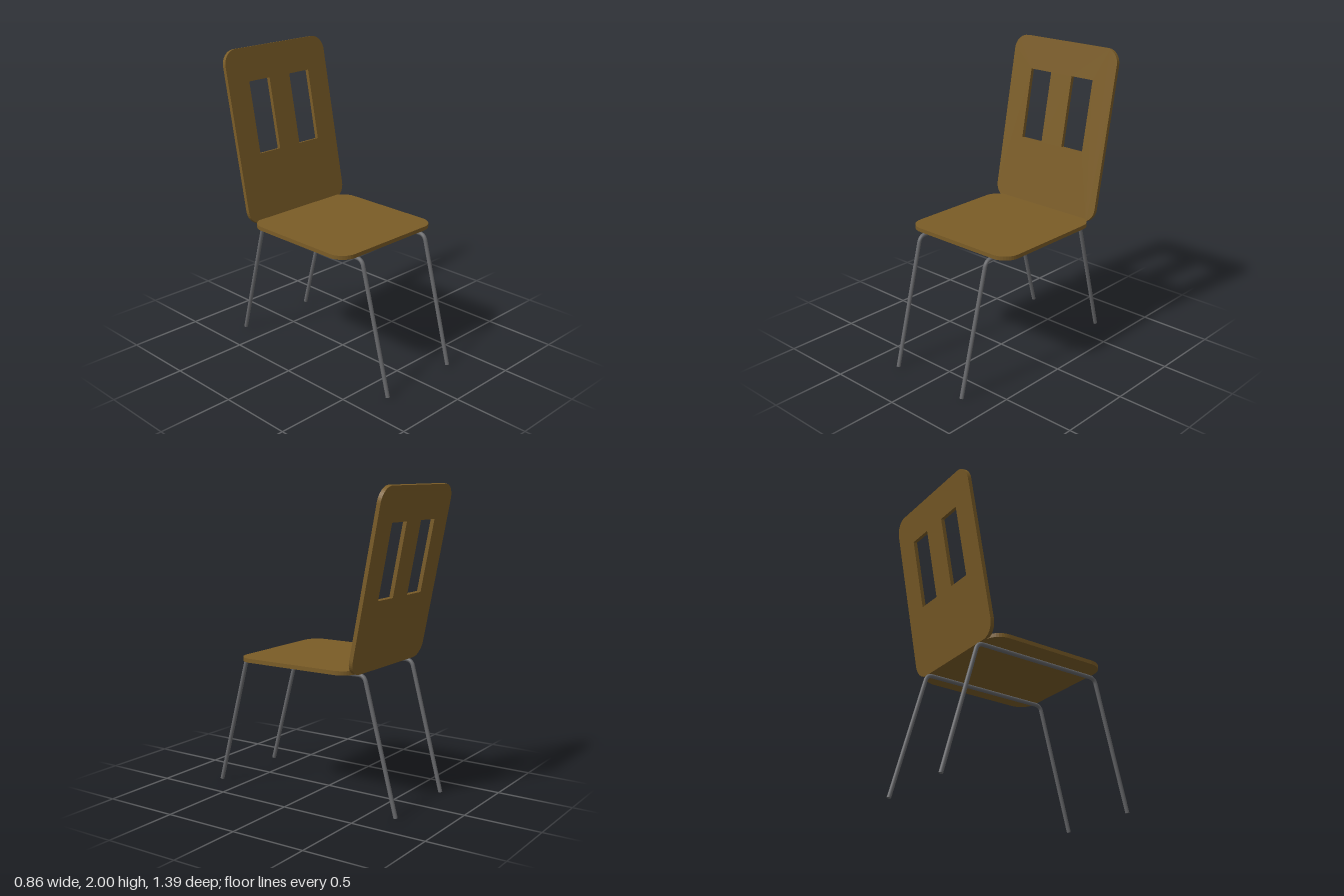
import * as THREE from 'three';

const wood = new THREE.MeshStandardMaterial({ name: 'brown wood', color: 0x7a5c27 });
const steel = new THREE.MeshStandardMaterial({ name: 'grey steel', color: 0x66676a });

const THICK = 0.026;
const TUBE = 0.0135;

// Rectangle outline with rounded corners, from (x0, y0) to (x1, y1)
function roundedRect(x0, y0, x1, y1, r) {
  const s = new THREE.Shape();
  s.absarc(x1 - r, y0 + r, r, -Math.PI / 2, 0);
  s.absarc(x1 - r, y1 - r, r, 0, Math.PI / 2);
  s.absarc(x0 + r, y1 - r, r, Math.PI / 2, Math.PI);
  s.absarc(x0 + r, y0 + r, r, Math.PI, Math.PI * 1.5);
  s.closePath();
  return s;
}

function board(shape, name) {
  const geo = new THREE.ExtrudeGeometry(shape, { depth: THICK, bevelEnabled: false, curveSegments: 5 });
  const mesh = new THREE.Mesh(geo, wood);
  mesh.name = name;
  return mesh;
}

// Straight round bar between two points
function bar(a, b, name) {
  const dir = b.clone().sub(a);
  const mesh = new THREE.Mesh(new THREE.CylinderGeometry(TUBE, TUBE, dir.length(), 12), steel);
  mesh.position.copy(a).add(b).multiplyScalar(0.5);
  mesh.quaternion.setFromUnitVectors(new THREE.Vector3(0, 1, 0), dir.normalize());
  mesh.name = name;
  return mesh;
}

// One bent tube: front leg, rail under the seat, rear leg
function legFrame(x, name) {
  const frame = new THREE.Group();
  frame.name = name;
  const railY = 0.859;
  for (const s of [1, -1]) {
    const foot = new THREE.Vector3(x, 0.004, s * 0.683);
    const corner = new THREE.Vector3(x, railY, s * 0.454);
    const legTop = corner.clone().lerp(foot, 0.045);
    const railEnd = new THREE.Vector3(x, railY, s * 0.415);
    const curve = new THREE.QuadraticBezierCurve3(legTop, corner, railEnd);
    const bend = new THREE.Mesh(new THREE.TubeGeometry(curve, 6, TUBE, 12), steel);
    const end = s > 0 ? 'front' : 'rear';
    bend.name = end + 'Bend';
    frame.add(bar(foot, legTop, end + 'Leg'), bend);
  }
  frame.add(bar(new THREE.Vector3(x, railY, 0.415), new THREE.Vector3(x, railY, -0.415), 'seatRail'));
  return frame;
}

export function createModel() {
  const chair = new THREE.Group();
  chair.name = 'chair';

  // Seat board
  const seat = board(roundedRect(-0.43, -0.427, 0.43, 0.427, 0.11), 'seat');
  seat.rotation.x = -Math.PI / 2;
  seat.position.y = 0.873;
  chair.add(seat);

  // Leaning backrest with two windows
  const backShape = roundedRect(-0.43, 0, 0.43, 1.146, 0.1);
  for (const x0 of [-0.26, 0.087]) {
    const hole = new THREE.Path();
    hole.moveTo(x0, 0.453);
    hole.lineTo(x0, 0.927);
    hole.lineTo(x0 + 0.173, 0.927);
    hole.lineTo(x0 + 0.173, 0.453);
    hole.closePath();
    backShape.holes.push(hole);
  }
  const back = board(backShape, 'backrest');
  back.rotation.x = -0.192;
  back.position.set(0, 0.87, -0.441);
  chair.add(back);

  // Leg frames
  chair.add(legFrame(0.29, 'leftLegFrame'), legFrame(-0.29, 'rightLegFrame'));
  return chair;
}
